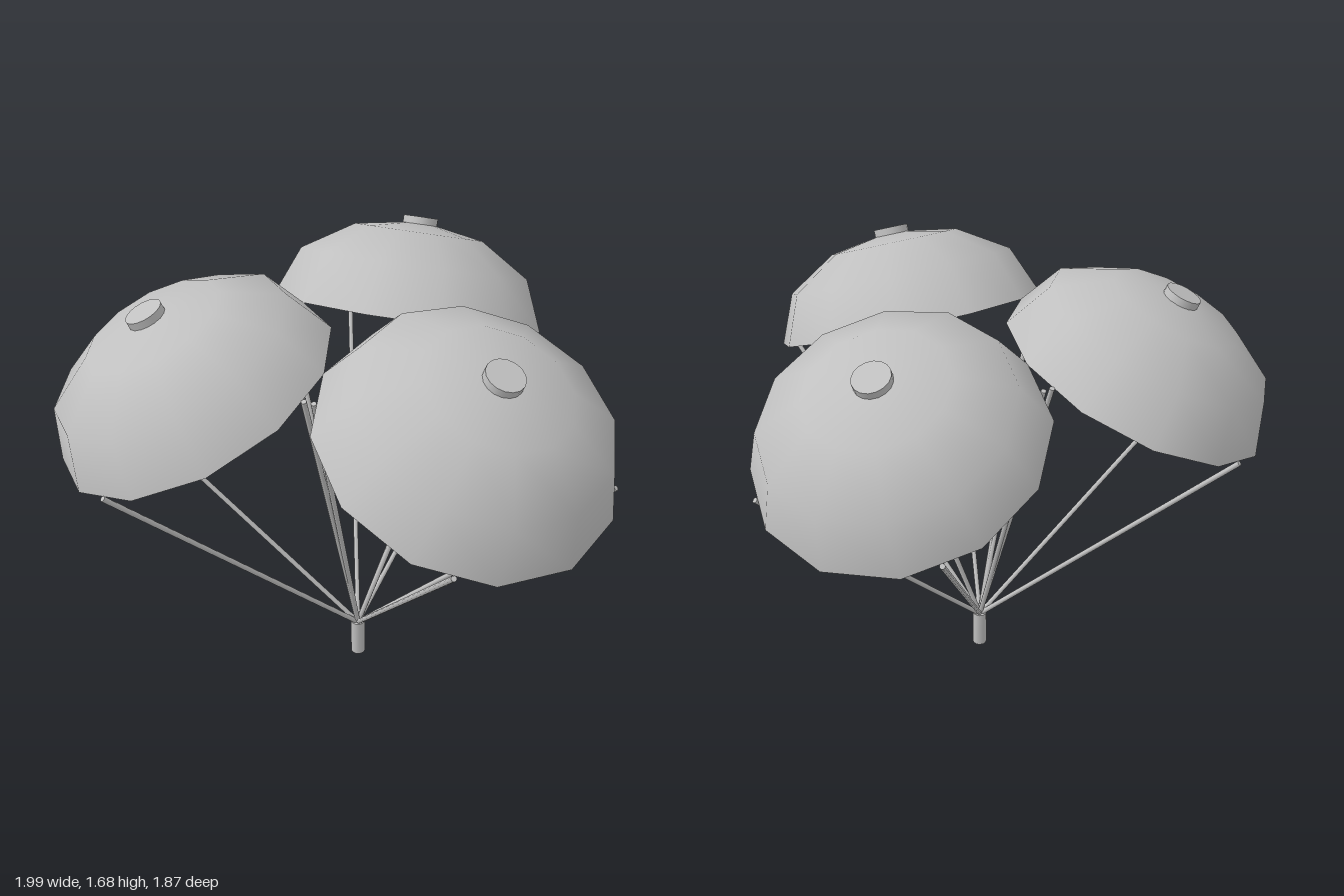
import * as THREE from 'three';
import { toCreasedNormals } from 'three/addons/utils/BufferGeometryUtils.js';

const fabric = new THREE.MeshStandardMaterial({ color: 0xc0c0c0 });
fabric.name = 'light grey';

const HUB_Z = 0.127;   // centre of the cluster
const TILT = -0.42;    // each canopy leans outwards
const CANOPY_POS = new THREE.Vector3(0, 1.2975, -0.4475 - HUB_Z);
const ROPE_START = new THREE.Vector3(0, 0.15, 0);

function mesh(name, geometry) {
  const m = new THREE.Mesh(geometry, fabric);
  m.name = name;
  return m;
}

// Thick twelve-sided dome: inside from apex to rim, then outside back up
function domeGeometry() {
  const profile = [
    [0, 0.32], [0.238, 0.28], [0.423, 0.172], [0.5, 0],
    [0.534, 0], [0.452, 0.19], [0.256, 0.308], [0, 0.35],
  ].map(([r, y]) => new THREE.Vector2(r, y));
  return toCreasedNormals(new THREE.LatheGeometry(profile, 12), 0.9);
}

// Straight rope between two points
function rope(a, b) {
  const dir = b.clone().sub(a);
  const m = mesh('rope', new THREE.CylinderGeometry(0.01, 0.01, dir.length(), 8));
  m.position.copy(a).add(b).multiplyScalar(0.5);
  m.quaternion.setFromUnitVectors(new THREE.Vector3(0, 1, 0), dir.normalize());
  return m;
}

// One parachute: tilted canopy with a vent cap and four ropes
function parachute() {
  const group = new THREE.Group();
  group.name = 'parachute';

  const canopy = new THREE.Group();
  canopy.name = 'canopy';
  canopy.position.copy(CANOPY_POS);
  canopy.rotation.x = TILT;
  const cap = mesh('ventCap', new THREE.CylinderGeometry(0.068, 0.068, 0.03, 16));
  cap.position.y = 0.352;
  canopy.add(mesh('dome', domeGeometry()), cap);
  canopy.updateMatrix();
  group.add(canopy);

  for (let i = 0; i < 4; i++) {
    const a = Math.PI / 4 + i * Math.PI / 2;
    const end = new THREE.Vector3(0.526 * Math.cos(a), 0, 0.526 * Math.sin(a));
    group.add(rope(ROPE_START, end.applyMatrix4(canopy.matrix)));
  }
  return group;
}

export function createModel() {
  const model = new THREE.Group();
  model.name = 'parachuteCluster';

  // Three parachutes spread evenly round the hub
  for (let i = 0; i < 3; i++) {
    const p = parachute();
    p.position.z = HUB_Z;
    p.rotation.y = i * Math.PI * 2 / 3;
    model.add(p);
  }

  // Post that gathers the ropes
  const post = mesh('post', new THREE.CylinderGeometry(0.029, 0.029, 0.16, 12));
  post.position.set(0, 0.08, HUB_Z);
  model.add(post);
  return model;
}
